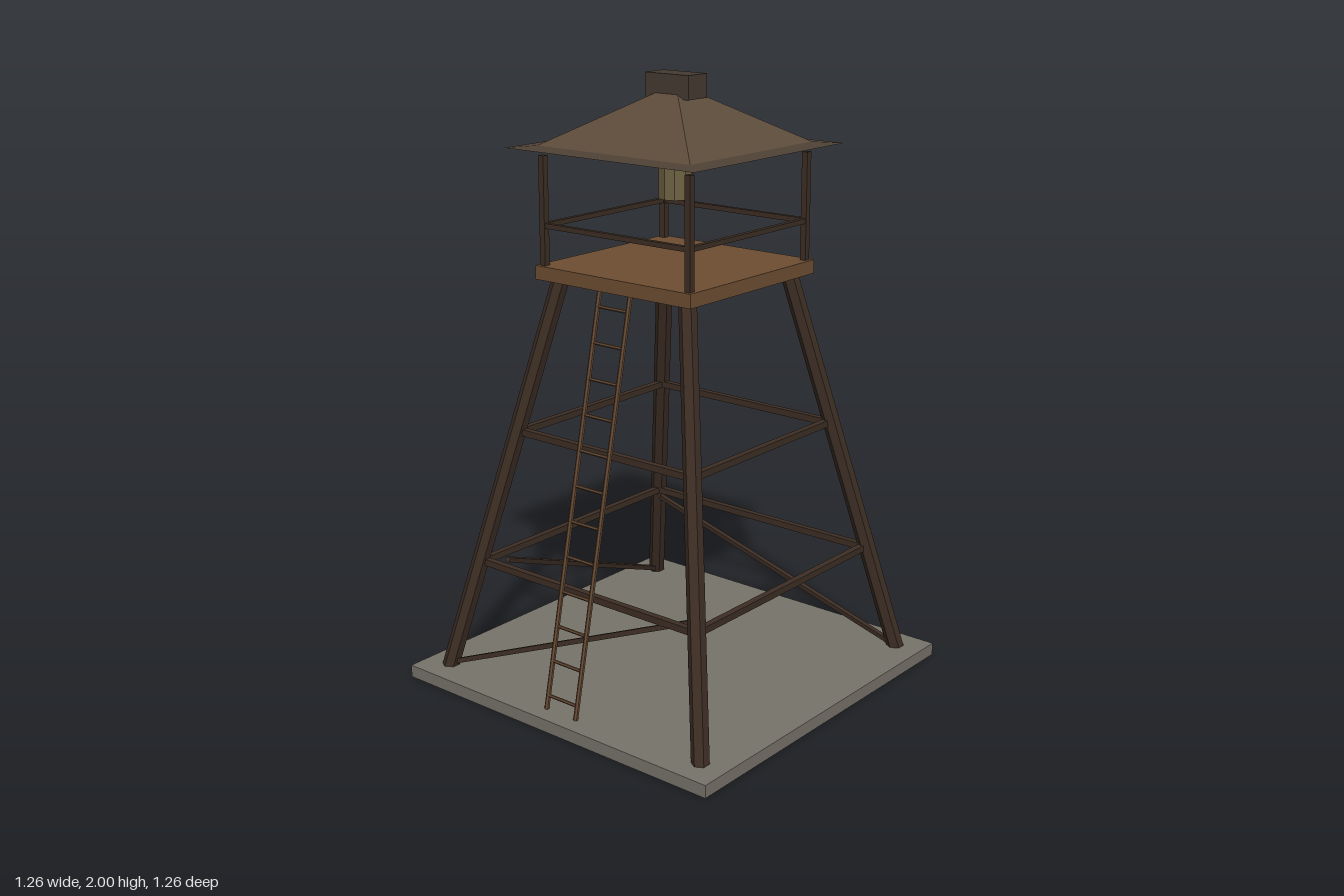
import * as THREE from 'three';

const mat = (color) => new THREE.MeshStandardMaterial({ color, flatShading: true });

export function createModel() {
  const tower = new THREE.Group();
  tower.name = 'watchtower';

  const darkWood = mat(0x3d2e24);
  const ladderWood = mat(0x664a33);
  const deckWood = mat(0x6e4e33);
  const stone = mat(0x77736a);
  stone.side = THREE.DoubleSide;
  const shingle = mat(0x5c4b3a);
  const eaveWood = mat(0x4f4236);
  const capWood = mat(0x453a32);
  const brass = mat(0x6e6242);

  const add = (name, geometry, material, y = 0) => {
    const mesh = new THREE.Mesh(geometry, material);
    mesh.name = name;
    mesh.position.y = y;
    tower.add(mesh);
    return mesh;
  };
  const box = (name, w, h, d, y, material) => add(name, new THREE.BoxGeometry(w, h, d), material, y);

  // Lay a y-aligned geometry between two points
  const span = (name, a, b, makeGeometry, material) => {
    const from = new THREE.Vector3(...a);
    const dir = new THREE.Vector3(...b).sub(from);
    const mesh = add(name, makeGeometry(dir.length()), material);
    mesh.position.copy(from).addScaledVector(dir, 0.5);
    mesh.quaternion.setFromUnitVectors(new THREE.Vector3(0, 1, 0), dir.normalize());
  };
  const pole = (name, a, b, radius, material) =>
    span(name, a, b, (length) => new THREE.CylinderGeometry(radius, radius, length, 6), material);
  const beam = (name, a, b, width) =>
    span(name, a, b, (length) => new THREE.BoxGeometry(width, length, width), darkWood);

  // Ground slab: a hollow tray, open underneath
  const slab = box('baseSlab', 1.26, 0.042, 1.26, 0.021, stone).geometry;
  const faces = Array.from(slab.index.array);
  faces.splice(18, 6);
  slab.setIndex(faces);
  slab.clearGroups();

  box('platform', 0.63, 0.045, 0.63, 1.38, deckWood);

  // Half spacing of the leaning legs at a given height
  const spread = (y) => 0.545 - 0.211 * y;

  // Each of the four sides: leg, cross beams, diagonal, deck post and railing
  for (let side = 0; side < 4; side++) {
    const turn = ([x, y, z]) => {
      for (let k = 0; k < side; k++) [x, z] = [z, -x];
      return [x, y, z];
    };
    const sideBeam = (name, a, b, width) => beam(name, turn(a), turn(b), width);

    const foot = spread(0.03), head = spread(1.365);
    pole('leg', turn([-foot, 0.03, foot]), turn([-head, 1.365, head]), 0.0285, darkWood);
    for (const y of [0.41, 0.855]) {
      const s = spread(y) - 0.007;
      sideBeam('crossBeam', [-s, y, s], [s, y, s], 0.022);
    }
    // The left side has no diagonal brace
    if (side !== 1) sideBeam('diagonalBrace', [-0.53, 0.05, 0.53], [0.395, 0.41, 0.395], 0.016);

    sideBeam('deckPost', [-0.293, 1.39, 0.293], [-0.293, 1.75, 0.293], 0.021);
    sideBeam('railing', [-0.303, 1.53, 0.293], [0.303, 1.53, 0.293], 0.016);
  }

  // Ladder leaning on the front
  const ladderZ = (y) => 0.578 - 0.21 * y;
  for (const x of [-0.062, 0.062]) {
    pole('ladderRail', [x, 0.03, ladderZ(0.03)], [x, 1.365, ladderZ(1.365)], 0.008, ladderWood);
  }
  for (let i = 0; i < 12; i++) {
    const y = 0.085 + i * 0.111;
    pole('ladderRung', [-0.062, y, ladderZ(y)], [0.062, y, ladderZ(y)], 0.0055, ladderWood);
  }

  // Hanging lantern
  add('lantern', new THREE.CylinderGeometry(0.0555, 0.0555, 0.11, 10), brass, 1.665);

  // Thin tapering eaves, four-sided roof and cap
  const pyramid = (name, top, bottom, height, y, material) => {
    const geometry = new THREE.CylinderGeometry(top * Math.SQRT2, bottom * Math.SQRT2, height, 4);
    add(name, geometry, material, y + height / 2).rotation.y = Math.PI / 4;
  };
  pyramid('eaves', 0.306, 0.376, 0.006, 1.775, eaveWood);
  pyramid('roof', 0, 0.308, 0.187, 1.779, shingle);
  box('roofCap', 0.174, 0.075, 0.09, 1.9625, capWood);

  return tower;
}
